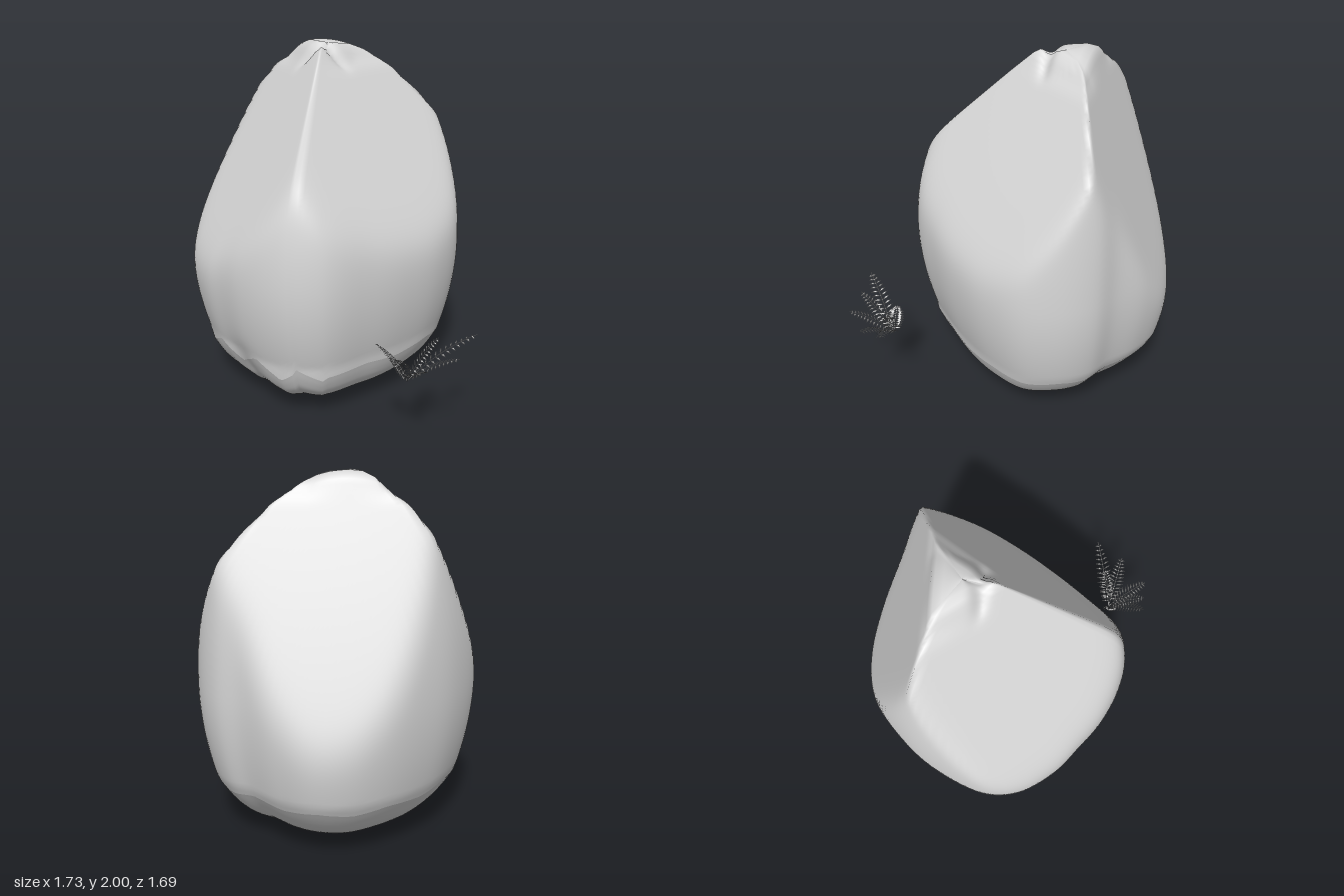
import * as THREE from 'three';

const AXIS = new THREE.Vector2(-0.1, -0.2); // x, z of the boulder's core

// Widest outline of the boulder (x, z), from the front ridge round by +x
const OUTLINE = [
  [-0.08, 0.69], [0.1, 0.64], [0.3, 0.45], [0.46, 0.26], [0.61, 0.02], [0.68, -0.22],
  [0.63, -0.43], [0.52, -0.58], [0.38, -0.66], [0.2, -0.79], [0, -0.87], [-0.2, -0.85],
  [-0.4, -0.75], [-0.6, -0.57], [-0.73, -0.4], [-0.85, -0.13], [-0.87, 0.02],
  [-0.83, 0.18], [-0.69, 0.37], [-0.55, 0.48], [-0.4, 0.59], [-0.22, 0.67],
];

// Broken faces that cut the top: normal and distance
const CUTS = [
  { n: [0.72, 0.53, 0.445], h: 0.962 },
  { n: [-0.68, 0.53, 0.51], h: 1.098 },
  { n: [-0.05, 0.36, -0.93], h: 1.035 },
];

// Profile of the foot: share of the width, share of the height
const FOOT = new THREE.SplineCurve([
  [0.22, 0], [0.45, 0.07], [0.62, 0.2], [0.77, 0.37], [0.88, 0.58], [0.95, 0.8], [1, 1],
].map(([s, y]) => new THREE.Vector2(s, y)));

const SEGMENTS = 128;
const loop = new THREE.CatmullRomCurve3(
  OUTLINE.map(([x, z]) => new THREE.Vector3(x, 0, z)), true
).getPoints(SEGMENTS).slice(0, SEGMENTS);

// Smooth minimum; a higher p keeps the corner sharper
const softMin = (values, p) => values.reduce((sum, v) => sum + v ** -p, 0) ** (-1 / p);

// Point on the boulder in column i at height y
function rockPoint(i, y, { scaleY = y, scale = 1, shrink = 1 } = {}) {
  const dx = loop[i].x - AXIS.x, dz = loop[i].z - AXIS.y;
  const len = Math.hypot(dx, dz), ux = dx / len, uz = dz / len;
  // Fuller shoulders under the two back ridges
  const shoulder = 0.2 * Math.max(0, 0.89 * ux - 0.45 * uz) ** 6
    + 0.1 * Math.max(0, -0.94 * ux - 0.34 * uz) ** 8;
  const taper = scaleY < 0.85 ? 0.37 : 0.33 - shoulder;
  let body = len * scale * (1 - taper * (scaleY - 0.85) ** 2);
  // Hollow at the foot of the front
  if (uz > 0) body *= 1 - 0.05 * Math.exp(-(((loop[i].x + 0.48) / 0.1) ** 2) - ((y - 0.2) / 0.14) ** 2);
  // Sharp ridges between the cuts, a soft turn into the body below
  const reaches = CUTS.map(({ n, h }) => {
    const facing = n[0] * ux + n[2] * uz;
    const reach = (h - n[1] * y - n[0] * AXIS.x - n[2] * AXIS.y) / facing;
    return facing > 0.01 ? Math.max(reach, 0.02) : 100;
  });
  const r = softMin([body, softMin(reaches, 44)], 22) * shrink;
  const x = AXIS.x + ux * r;
  const z = AXIS.y + uz * r + 0.08 * Math.max(0, 1 - y / 0.35);
  // Crown: sloping shoulders and a notch behind the front tip
  const crown = THREE.MathUtils.smoothstep(y, 1.82, 1.98);
  const drop = 0.045 * Math.exp(-(((z + 0.11) / 0.035) ** 2)) + 0.04 * Math.min(1, ((x + 0.15) / 0.2) ** 2);
  return [x, y - crown * drop, z];
}

// Closed skin through rows of points
function skin(rows) {
  const index = [];
  for (let j = 0; j < rows.length - 1; j++) {
    for (let i = 0; i < SEGMENTS; i++) {
      const k = (i + 1) % SEGMENTS;
      const a = j * SEGMENTS + i, b = j * SEGMENTS + k;
      index.push(a, b, b + SEGMENTS, a, b + SEGMENTS, a + SEGMENTS);
    }
  }
  const geo = new THREE.BufferGeometry();
  geo.setAttribute('position', new THREE.Float32BufferAttribute(rows.flat(2), 3));
  geo.setIndex(index);
  geo.computeVertexNormals();
  return geo;
}

const columns = (fn) => Array.from({ length: SEGMENTS }, (_, i) => fn(i));

// Uneven height of the crease between foot and body, jagged at the front right
const creaseY = (i) => {
  const jagged = loop[i].z > 0.1 && loop[i].x < 0.1 ? 1 : 0.25;
  return 0.3 + jagged * 0.045 * (Math.abs(((i * 0.17) % 2) - 1) * 2 - 1);
};

function upperRock() {
  const rows = [], count = 64;
  for (let j = 0; j <= count; j++) {
    rows.push(columns((i) => rockPoint(i, THREE.MathUtils.lerp(creaseY(i), 1.96, j / count))));
  }
  // Small worn crown
  rows.push(columns((i) => rockPoint(i, 1.985, { shrink: 0.93 })));
  rows.push(columns((i) => rockPoint(i, 2.0, { shrink: 0.65 })));
  rows.push(columns(() => [AXIS.x, 1.99, AXIS.y]));
  return skin(rows);
}

function lowerRock() {
  const rows = [columns(() => [AXIS.x, 0, AXIS.y + 0.08])], count = 24;
  for (let j = 0; j <= count; j++) {
    const f = FOOT.getPoint(j / count);
    rows.push(columns((i) => rockPoint(i, creaseY(i) * Math.max(f.y, 0), { scaleY: creaseY(i), scale: f.x })));
  }
  return skin(rows);
}

// One arching frond: a thin stem with paired pointed leaflets
function frondGeometry(base, tip) {
  const mid = base.clone().lerp(tip, 0.45);
  mid.y += 0.15 * base.distanceTo(tip);
  const curve = new THREE.QuadraticBezierCurve3(base, mid, tip);
  const up = new THREE.Vector3(0, 1, 0);
  const pos = [];
  const quad = (a, b, c, d) => [a, b, c, a, c, d].forEach((v) => pos.push(v.x, v.y, v.z));
  const pairs = 14;
  for (let k = 0; k < pairs; k++) {
    const t = k / pairs;
    const p = curve.getPoint(t), q = curve.getPoint((k + 1) / pairs);
    const along = curve.getTangent(t);
    const side = new THREE.Vector3().crossVectors(along, up).normalize();
    const w = side.clone().multiplyScalar(0.0025);
    quad(p.clone().sub(w), p.clone().add(w), q.clone().add(w), q.clone().sub(w));
    if (k < 2) continue;
    const length = 0.058 * Math.sin(Math.PI * (0.2 + 0.72 * t));
    for (const s of [-1, 1]) {
      const out = side.clone().multiplyScalar(s).addScaledVector(along, 0.35).normalize();
      const half = along.clone().multiplyScalar(0.0065);
      const belly = p.clone().addScaledVector(out, length * 0.45);
      const end = p.clone().addScaledVector(out, length);
      end.y -= 0.006;
      quad(p, belly.clone().sub(half), end, belly.clone().add(half));
    }
  }
  const geo = new THREE.BufferGeometry();
  geo.setAttribute('position', new THREE.Float32BufferAttribute(pos, 3));
  geo.computeVertexNormals();
  return geo;
}

export function createModel() {
  const stone = new THREE.MeshStandardMaterial({ color: 0xd8d8d8, side: THREE.DoubleSide });
  stone.name = 'pale grey';

  const model = new THREE.Group();
  model.name = 'boulderWithFern';
  const add = (parent, name, geo) => {
    const mesh = new THREE.Mesh(geo, stone);
    mesh.name = name;
    parent.add(mesh);
  };

  add(model, 'boulderBody', upperRock());
  add(model, 'boulderFoot', lowerRock());

  // Fern beside the front left of the boulder
  const fern = new THREE.Group();
  fern.name = 'fern';
  const base = new THREE.Vector3(0.52, 0.37, 0.63);
  const tips = [
    [0.86, 0.62, 0.51], [0.79, 0.56, 0.68], [0.63, 0.55, 0.84],
    [0.5, 0.6, 0.83], [0.39, 0.67, 0.82], [0.43, 0.5, 0.64], [0.67, 0.61, 0.57],
  ];
  tips.forEach((t, i) => add(fern, `frond${i + 1}`, frondGeometry(base, new THREE.Vector3(...t))));
  model.add(fern);
  return model;
}
